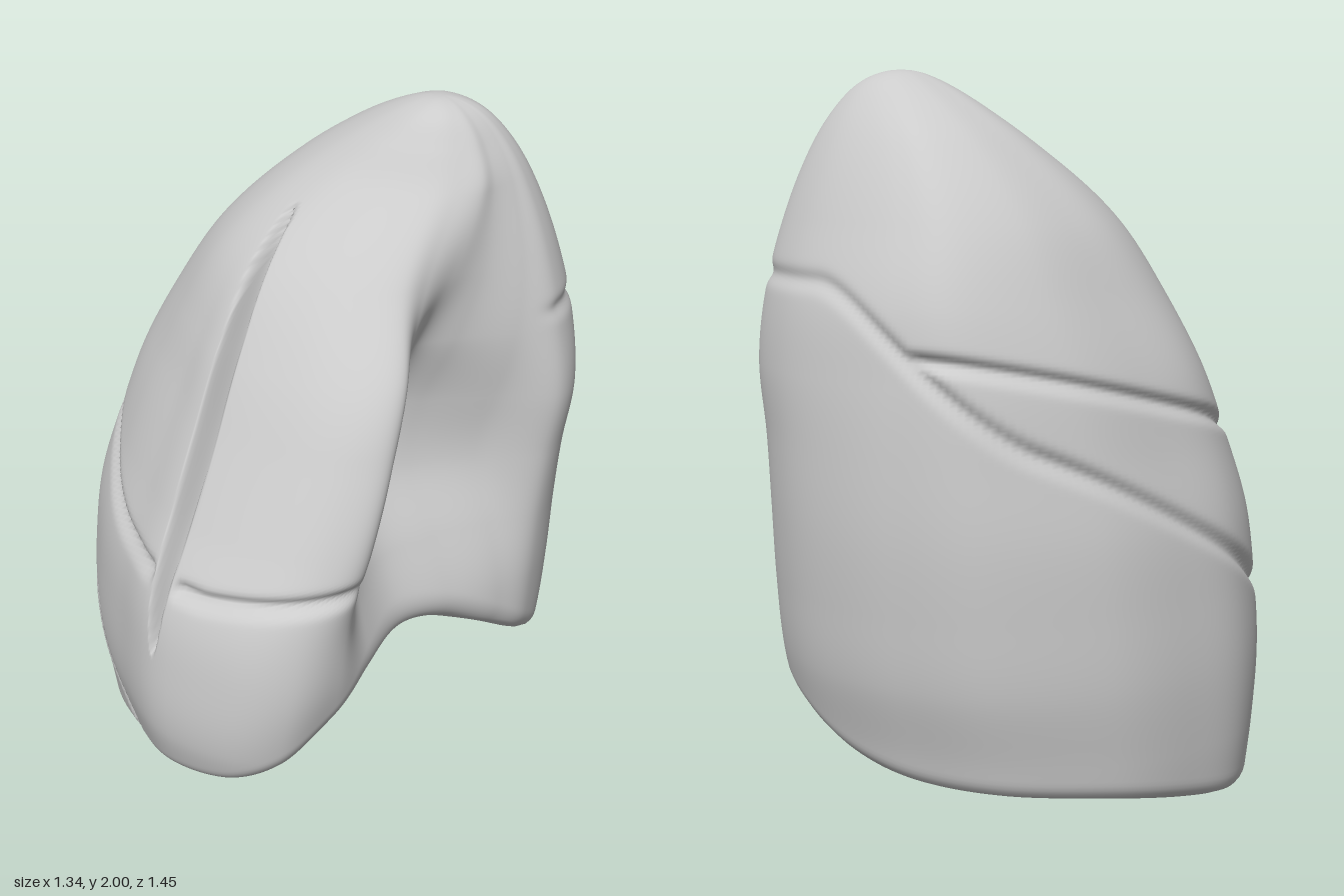
import * as THREE from 'three';

// Horizontal sections: y, pivot x, pivot z, outer side x, rear bulge x, hollow x, front edge x, back z, front z
const LEVELS = [
  [2.0, 0.29, -0.22, 0.29, 0.29, 0.29, 0.29, -0.22, -0.22],
  [1.97, 0.28, -0.22, 0.17, 0.385, 0.375, 0.35, -0.32, -0.13],
  [1.9, 0.23, -0.22, 0.04, 0.45, 0.435, 0.38, -0.4, -0.06],
  [1.8, 0.15, -0.2, -0.1, 0.51, 0.48, 0.4, -0.48, 0.03],
  [1.6, 0.07, -0.15, -0.3, 0.59, 0.47, 0.43, -0.59, 0.25],
  [1.4, 0.05, -0.1, -0.42, 0.64, 0.4, 0.52, -0.67, 0.38],
  [1.2, 0.05, -0.07, -0.52, 0.665, 0.3, 0.54, -0.7, 0.48],
  [1.0, 0.05, -0.05, -0.58, 0.64, 0.3, 0.54, -0.715, 0.58],
  [0.8, 0.05, -0.05, -0.635, 0.625, 0.4, 0.52, -0.72, 0.68],
  [0.6, 0.05, -0.05, -0.66, 0.62, 0.49, 0.51, -0.71, 0.715],
  [0.4, 0.05, -0.05, -0.675, 0.61, 0.52, 0.47, -0.69, 0.715],
  [0.2, 0.05, -0.05, -0.67, 0.59, 0.52, 0.43, -0.64, 0.66],
  [0.0, 0.05, -0.05, -0.65, 0.57, 0.52, 0.42, -0.6, 0.62],
];
// Lower rim height at each point round the outline, starting at the front
const RIM = [0.23, 0.28, 0.36, 0.46, 0.54, 0.57, 0.54, 0.47, 0.4, 0.3,
  0.23, 0.16, 0.12, 0.11, 0.09, 0.05, 0.02, 0, 0.06, 0.15];
const COLS = 260, ROWS = 190, BASE_ROWS = 24, SLIT_X = 0.053;
const { lerp, smoothstep, clamp } = THREE.MathUtils;
const gauss = (d, s) => Math.exp(-(d * d) / (s * s));

// Smooth interpolation between levels, keyed on sqrt(2 - y) so the apex closes round
const KEYS = LEVELS.map((l) => Math.sqrt(2 - l[0]));
function levelAt(y) {
  const q = Math.sqrt(Math.max(0, 2 - y)), n = KEYS.length;
  let i = 0;
  while (i < n - 2 && q > KEYS[i + 1]) i++;
  const h = KEYS[i + 1] - KEYS[i], t = clamp((q - KEYS[i]) / h, 0, 1);
  const slope = (k, j) => {
    const a = Math.max(0, k - 1), b = Math.min(n - 1, k + 1);
    return (LEVELS[b][j] - LEVELS[a][j]) / (KEYS[b] - KEYS[a]);
  };
  const t2 = t * t, t3 = t2 * t;
  return LEVELS[i].map((p, j) => (2 * t3 - 3 * t2 + 1) * p + (t3 - 2 * t2 + t) * h * slope(i, j)
    + (3 * t2 - 2 * t3) * LEVELS[i + 1][j] + (t3 - t2) * h * slope(i + 1, j));
}

// Control points of one kidney-shaped section, counter-clockwise from the front;
// it turns oval towards the apex, and the hollow widens at mid height
function outline([y, px, pz, xo, xb, xn, xa, zb, zf]) {
  const D = zf - pz, B = pz - zb;
  const e = smoothstep(y, 1.25, 1.75), w = gauss(y - 1.0, 0.3);
  return [
    [px, zf],
    [lerp(px, xa, lerp(0.55, 0.42, e)), pz + lerp(0.99, 0.96, e) * D],
    [lerp(px, xa, lerp(0.88, 0.75, e)), pz + lerp(0.88, 0.85, e) * D],
    [xa, pz + 0.7 * D],
    [lerp(xa, xn, lerp(0.55, 0.72, w)), pz + 0.5 * D],
    [xn, pz + 0.27 * D],
    [lerp(xn, xb, lerp(0.28, 0.18, w)), pz + 0.04 * D],
    [lerp(xn, xb, lerp(0.75, 0.55, w)), pz - 0.19 * B],
    [xb, pz - 0.38 * B],
    [lerp(px, xb, 0.91), pz - 0.64 * B],
    [lerp(px, xb, 0.63), pz - 0.85 * B],
    [lerp(px, xb, 0.3), pz - 0.965 * B],
    [lerp(px, xo, 0.07), zb],
    [lerp(px, xo, 0.43), pz - 0.92 * B],
    [lerp(px, xo, 0.77), pz - 0.6 * B],
    [lerp(px, xo, 0.94), pz - 0.23 * B],
    [xo, pz + 0.08 * D],
    [lerp(px, xo, 0.9), pz + lerp(0.38, 0.42, e) * D],
    [lerp(px, xo, 0.64), pz + lerp(0.64, 0.74, e) * D],
    [lerp(px, xo, 0.33), pz + lerp(0.84, 0.92, e) * D],
  ];
}

// Closed Catmull-Rom value at u in 0..1
function loopValue(get, n, u) {
  const f = (u - Math.floor(u)) * n, i = Math.floor(f), t = f - i;
  const [a, b, c, d] = [-1, 0, 1, 2].map((k) => get((i + k + n) % n));
  return 0.5 * (2 * b + (c - a) * t + (2 * a - 5 * b + 4 * c - d) * t * t + (3 * b - a - 3 * c + d) * t * t * t);
}

// Depth of the fissures between the lobes
function fissureDepth(x, y, z) {
  const inHollow = smoothstep(x, 0.25, 0.38) * smoothstep(z, -0.34, -0.24);
  const rear = z < 0 ? smoothstep(x, -0.35, 0.3) : 0;
  // Oblique fissure: from high on the back down to the front of the base
  const slant = 0.7 - 0.6 * z - 0.18 * smoothstep(z, 0.4, 0.62);
  const oblique = lerp(slant, 1.45, rear);
  const a = gauss((y - oblique) * 0.85, 0.02) * (1 - inHollow) * (1 - 0.5 * rear);
  // Horizontal fissure: across the front, round the outer side to the oblique one
  const front = 0.85 + 1.25 * Math.max(0, -x - 0.15) ** 2 + Math.max(0, x - 0.2) * 0.15;
  const horizontal = lerp(front, 1.08 - 0.28 * z, smoothstep(-z, -0.25, 0));
  const onFront = x > 0.2 ? smoothstep(z, 0.36, 0.48) : 1;
  const offSlit = z > 0 ? smoothstep(Math.abs(x - SLIT_X), 0.03, 0.07) : 1;
  const b = gauss(y - horizontal, 0.02) * onFront * offSlit * smoothstep(y - oblique, -0.02, 0.03);
  return 0.026 * Math.max(a, b);
}

function bodyPoint(u, t) {
  const rim = loopValue((i) => RIM[i], RIM.length, u);
  const y = 2 - (2 - rim) * t ** 1.3;
  const level = levelAt(y), pts = outline(level);
  let x = loopValue((i) => pts[i][0], pts.length, u);
  let z = loopValue((i) => pts[i][1], pts.length, u);
  // Fissures and the rounded lower rim, softest under the hollow, push the wall inward
  const soft = 0.055 + 0.06 * gauss(u - 0.25, 0.1);
  const k = clamp(1 - (y - rim) / soft, 0, 1);
  const inset = fissureDepth(x, y, z) * smoothstep(y - rim, -0.02, 0.06)
    + 0.8 * soft * (1 - Math.sqrt(1 - k * k));
  const dx = x - level[1], dz = z - level[2], len = Math.hypot(dx, dz);
  if (len > 0.05) {
    x -= (dx / len) * inset;
    z -= (dz / len) * inset;
  }
  // Narrow spindle-shaped slit down the front
  const s = (y - 1.19) / 0.55;
  if (Math.abs(s) < 1 && z > level[2]) {
    const taper = Math.sqrt(1 - s * s), d = (x - SLIT_X) / (0.042 * taper);
    if (Math.abs(d) < 1) z -= 0.11 * (1 - d * d) ** 1.5 * taper;
  }
  return [x, y, z];
}

function lungGeometry() {
  const pos = [], index = [];
  // Columns are packed closer around the slit
  const column = (c) => {
    const s = c / COLS - 0.5, a = Math.abs(s);
    return Math.sign(s) * (a < 0.04 ? 0.3 * a : 0.012 + (a - 0.04) * (0.488 / 0.46));
  };
  for (let r = 0; r <= ROWS; r++) {
    for (let c = 0; c < COLS; c++) pos.push(...bodyPoint((column(c) + 1) % 1, r / ROWS));
  }
  // Hollow underside: a tilted, domed floor drawn in from the rim to its centre
  const rimStart = ROWS * COLS * 3;
  const floor = (x) => 0.36 + 0.36 * x;
  for (let r = 1; r <= BASE_ROWS; r++) {
    const k = r / BASE_ROWS, rest = (1 - k) ** 2;
    for (let c = 0; c < COLS; c++) {
      const [rx, ry, rz] = pos.slice(rimStart + c * 3, rimStart + c * 3 + 3);
      const x = lerp(rx, 0, k);
      pos.push(x, floor(x) + (ry - floor(rx)) * rest, lerp(rz, 0.02, k));
    }
  }
  const last = ROWS + BASE_ROWS - 1;
  for (let r = 0; r <= last; r++) {
    for (let c = 0; c < COLS; c++) {
      const a = r * COLS + c, b = r * COLS + (c + 1) % COLS;
      if (r > 0) index.push(a, a + COLS, b);
      if (r < last) index.push(b, a + COLS, b + COLS);
    }
  }
  const g = new THREE.BufferGeometry();
  g.setAttribute('position', new THREE.Float32BufferAttribute(pos, 3));
  g.setIndex(index);
  g.computeVertexNormals();
  // The apex is one point: give all its copies the same upward normal
  for (let c = 0; c < COLS; c++) g.attributes.normal.setXYZ(c, 0, 1, 0);
  return g;
}

export function createModel() {
  const group = new THREE.Group();
  group.name = 'lung';
  const lobes = new THREE.Mesh(lungGeometry(), new THREE.MeshStandardMaterial({ color: 0xcccccc }));
  lobes.name = 'lobes';
  group.add(lobes);
  return group;
}
